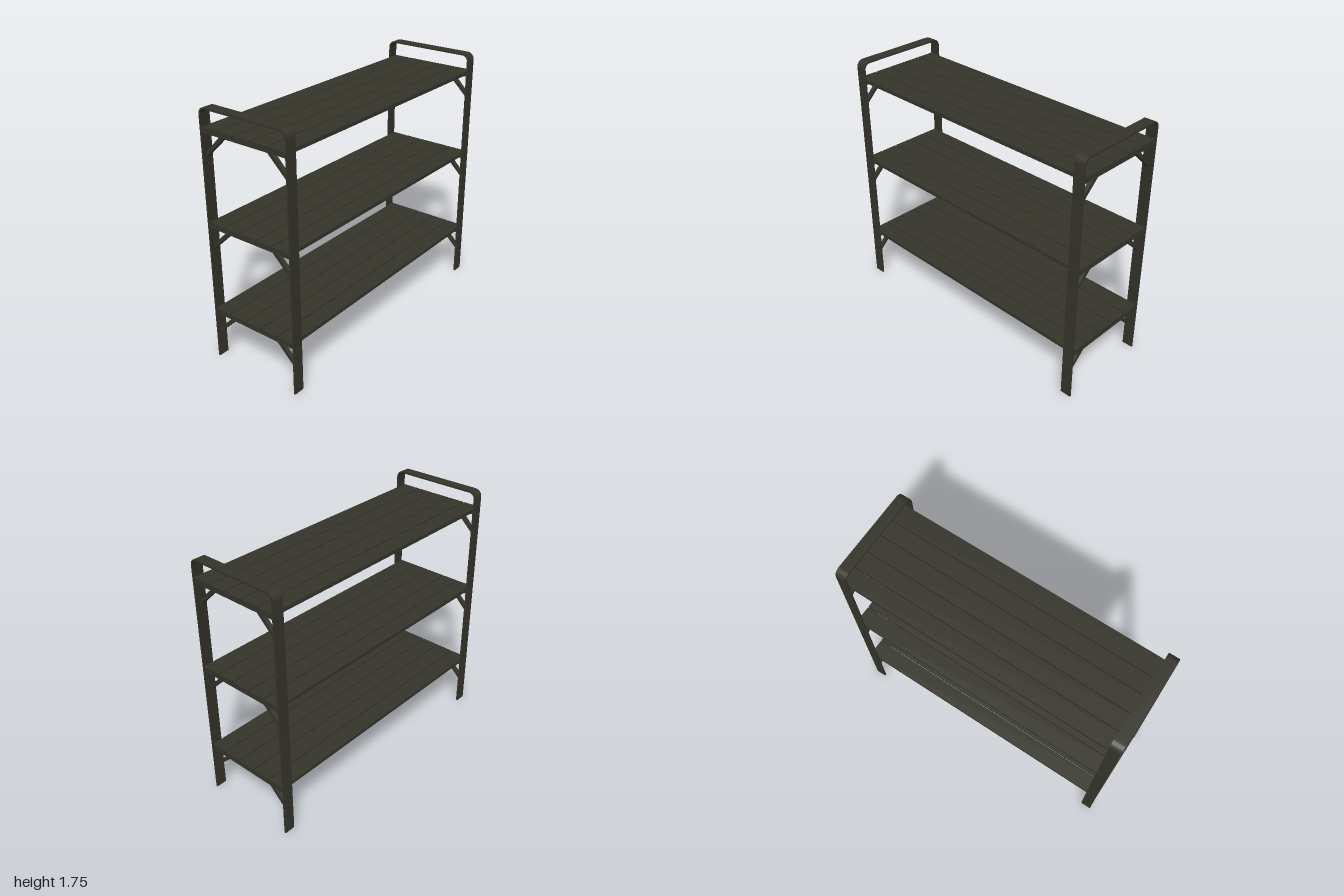
import * as THREE from 'three';
import { toCreasedNormals } from 'three/addons/utils/BufferGeometryUtils.js';

const WIDTH = 0.076;          // width of the flat bar frames along x
const HALF_DEPTH = 0.34;
const HEIGHT = 1.75;
const BAR = 0.012;            // thickness of the bent flat bar
const FRAME_X = 1 - WIDTH / 2;

// Extrude a (z, y) profile along x, centred on x = 0
function extrudeAlongX(shape, width) {
  const geometry = new THREE.ExtrudeGeometry(shape, { depth: width, bevelEnabled: false, curveSegments: 10 });
  geometry.translate(0, 0, -width / 2);
  geometry.rotateY(-Math.PI / 2);
  return toCreasedNormals(geometry, 0.5);
}

// Bent flat bar: two legs joined by a rounded top handle
function frameShape() {
  const d = HALF_DEPTH, i = d - BAR, r = 0.05, ri = r - BAR;
  const s = new THREE.Shape();
  s.moveTo(d, 0);
  s.lineTo(d, HEIGHT - r);
  s.absarc(d - r, HEIGHT - r, r, 0, Math.PI / 2, false);
  s.lineTo(-d + r, HEIGHT);
  s.absarc(-d + r, HEIGHT - r, r, Math.PI / 2, Math.PI, false);
  s.lineTo(-d, 0);
  s.lineTo(-i, 0);
  s.lineTo(-i, HEIGHT - r);
  s.absarc(-d + r, HEIGHT - r, ri, Math.PI, Math.PI / 2, true);
  s.lineTo(d - r, HEIGHT - BAR);
  s.absarc(d - r, HEIGHT - r, ri, Math.PI / 2, 0, true);
  s.lineTo(i, 0);
  s.closePath();
  return s;
}

// Diagonal brace with mitred ends, measured down from the shelf underside
function braceShape(side) {
  const z = HALF_DEPTH - BAR / 2;
  const points = [[z, -0.17], [z, -0.138], [0.197, 0], [0.156, 0]];
  return new THREE.Shape(points.map(([pz, py]) => new THREE.Vector2(pz * side, py)));
}

export function createModel() {
  const model = new THREE.Group();
  model.name = 'shelfRack';
  const metal = new THREE.MeshStandardMaterial({ color: 0x36352b });
  metal.name = 'dark olive metal';

  const add = (parent, name, geometry, x, y, z) => {
    const mesh = new THREE.Mesh(geometry, metal);
    mesh.name = name;
    mesh.position.set(x, y, z);
    parent.add(mesh);
    return mesh;
  };

  // End frames
  const frameGeometry = extrudeAlongX(frameShape(), WIDTH);
  add(model, 'leftFrame', frameGeometry, FRAME_X, 0, 0);
  add(model, 'rightFrame', frameGeometry, -FRAME_X, 0, 0);

  // Shelves: top height and the z of the gaps between their slats
  const shelves = [
    { name: 'lowerShelf', top: 0.376, gaps: [-0.202, -0.064, 0.068, 0.206] },
    { name: 'middleShelf', top: 1.0, gaps: [-0.203, -0.076, 0.064, 0.192] },
    { name: 'upperShelf', top: 1.625, gaps: [-0.203, -0.073, 0.064, 0.19] },
  ];
  const slatThickness = 0.025, railThickness = 0.01, gap = 0.008;
  const railGeometry = new THREE.BoxGeometry(WIDTH, railThickness, 2 * (HALF_DEPTH - BAR / 2));
  const braces = [
    ['frontBrace', extrudeAlongX(braceShape(1), 0.026)],
    ['backBrace', extrudeAlongX(braceShape(-1), 0.026)],
  ];

  for (const { name, top, gaps } of shelves) {
    const shelf = new THREE.Group();
    shelf.name = name;
    shelf.position.y = top;
    model.add(shelf);

    // Long slats running between the front and back legs
    const edges = [-0.326 - gap / 2, ...gaps, 0.326 + gap / 2];
    for (let i = 0; i < edges.length - 1; i++) {
      const depth = edges[i + 1] - edges[i] - gap;
      const slat = new THREE.BoxGeometry(1.996, slatThickness, depth);
      add(shelf, 'slat', slat, 0, -slatThickness / 2, (edges[i] + edges[i + 1]) / 2);
    }

    // Cross rail and two braces under each end
    const underside = -slatThickness - railThickness;
    for (const side of [1, -1]) {
      add(shelf, 'crossRail', railGeometry, side * FRAME_X, underside + railThickness / 2, 0);
      for (const [braceName, geometry] of braces) {
        add(shelf, braceName, geometry, side * FRAME_X, underside, 0);
      }
    }
  }
  return model;
}
